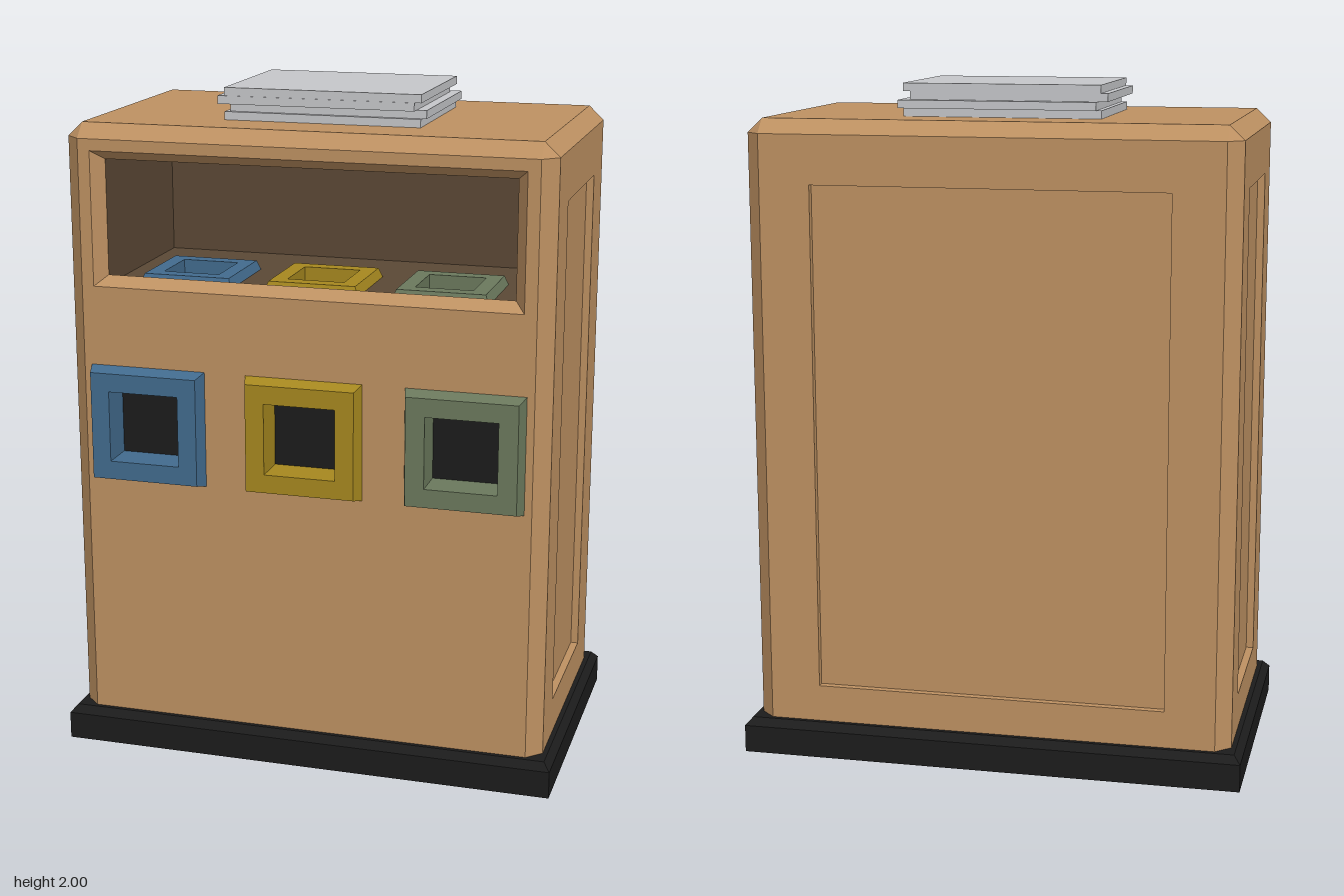
import * as THREE from 'three';

const material = (name, color) => {
  const m = new THREE.MeshStandardMaterial({ color });
  m.name = name;
  return m;
};

function add(parent, name, geometry, mat, x = 0, y = 0, z = 0) {
  const mesh = new THREE.Mesh(geometry, mat);
  mesh.name = name;
  mesh.position.set(x, y, z);
  parent.add(mesh);
  return mesh;
}

function group(parent, name, x = 0, y = 0, z = 0) {
  const g = new THREE.Group();
  g.name = name;
  g.position.set(x, y, z);
  parent.add(g);
  return g;
}

// Flat-shaded geometry from convex polygons
function facets(polygons) {
  const pos = [];
  for (const p of polygons)
    for (let i = 1; i < p.length - 1; i++) pos.push(...p[0], ...p[i], ...p[i + 1]);
  const g = new THREE.BufferGeometry();
  g.setAttribute('position', new THREE.Float32BufferAttribute(pos, 3));
  g.computeVertexNormals();
  return g;
}

// Joins rectangular rings [halfWidth, halfHeight, z]
function loft(rings) {
  const corners = rings.map(([w, h, z]) => [[-w, -h, z], [w, -h, z], [w, h, z], [-w, h, z]]);
  const polys = [];
  for (let r = 0; r < corners.length - 1; r++)
    for (let i = 0; i < 4; i++) {
      const j = (i + 1) % 4;
      polys.push([corners[r][i], corners[r][j], corners[r + 1][j], corners[r + 1][i]]);
    }
  return facets(polys);
}

// Flat sheet with rectangular holes, each rectangle as [cx, cy, halfWidth, halfHeight]
function sheet(outer, holes = []) {
  const trace = (path, [x, y, w, h]) =>
    path.moveTo(x - w, y - h).lineTo(x + w, y - h).lineTo(x + w, y + h).lineTo(x - w, y + h).closePath();
  const shape = new THREE.Shape();
  trace(shape, outer);
  for (const h of holes) {
    const path = new THREE.Path();
    trace(path, h);
    shape.holes.push(path);
  }
  return new THREE.ShapeGeometry(shape);
}

export function createModel() {
  const wood = material('tan wood', 0xbe9162);
  const dark = material('dark brown interior', 0x5b4835);
  const black = material('black', 0x1c1c1c);
  const paper = material('light grey', 0xc6c7ca);
  const slots = [
    ['blue', material('blue', 0x426b8e)],
    ['yellow', material('yellow', 0xa6881f)],
    ['green', material('green', 0x6b795d)],
  ];

  const model = new THREE.Group();
  model.name = 'recyclingStation';

  // Plinth with a chamfered top edge
  const plinth = new THREE.BoxGeometry(1.5, 0.105, 0.884, 1, 2, 1);
  const p = plinth.attributes.position;
  for (let i = 0; i < p.count; i++) {
    if (Math.abs(p.getY(i)) < 0.01) p.setY(i, 0.03);
    else if (p.getY(i) > 0) p.setXYZ(i, p.getX(i) - Math.sign(p.getX(i)) * 0.02, p.getY(i), p.getZ(i) - Math.sign(p.getZ(i)) * 0.02);
  }
  const plinthFlat = plinth.toNonIndexed();
  plinthFlat.computeVertexNormals();
  add(model, 'plinth', plinthFlat, black, 0, 0.0525, -0.006);

  // Cabinet dimensions: half width, half depth, inner half width and depth, heights
  const W = 0.716, D = 0.409, w = 0.672, d = 0.367, Y0 = 0.1, Y1 = 1.863, Y2 = 1.905;
  const midY = (Y0 + Y1) / 2, halfH = (Y1 - Y0) / 2;
  const cabinet = group(model, 'cabinet', 0, 0, -0.006);

  // Chamfered corners, sloped top edges and lid
  const octagon = [[-w, D], [w, D], [W, d], [W, -d], [w, -D], [-w, -D], [-W, -d], [-W, d]];
  const lid = [[-w, d], [w, d], [w, -d], [-w, -d]].map(([x, z]) => [x, Y2, z]);
  const at = (i, y) => [octagon[i % 8][0], y, octagon[i % 8][1]];
  const trim = [lid];
  for (let k = 0; k < 4; k++) {
    const i = k * 2, next = lid[(k + 1) % 4];
    trim.push([at(i, Y1), at(i + 1, Y1), next, lid[k]]);
    trim.push([at(i + 1, Y0), at(i + 2, Y0), at(i + 2, Y1), at(i + 1, Y1)]);
    trim.push([at(i + 1, Y1), at(i + 2, Y1), next]);
  }
  add(cabinet, 'cabinetTopAndCorners', facets(trim), wood);

  // Side and back walls with a shallow recessed panel
  const walls = [
    ['leftWall', Math.PI / 2, W, d, 0.222],
    ['rightWall', -Math.PI / 2, W, d, 0.222],
    ['backWall', Math.PI, D, w, 0.522],
  ];
  const panelY = 0.967, panelH = 0.752;
  for (const [name, angle, dist, half, panelW] of walls) {
    const wall = group(cabinet, name);
    wall.rotation.y = angle;
    add(wall, name + 'Frame', sheet([0, midY, half, halfH], [[0, panelY, panelW, panelH]]), wood, 0, 0, dist);
    add(wall, name + 'PanelEdge', loft([[panelW, panelH, 0], [panelW, panelH, -0.022]]), wood, 0, panelY, dist);
    add(wall, name + 'Panel', sheet([0, panelY, panelW, panelH]), wood, 0, 0, dist - 0.022);
  }

  // Front wall with the display opening and three slots
  const slotY = 1.024, slotX = 0.475, hole = 0.106;
  const openY = 1.631, openW = 0.636, openH = 0.198;
  const inW = 0.604, inH = 0.17, zFront = D - 0.04, zBack = -0.17;
  const slotHoles = [-1, 0, 1].map((s) => [s * slotX, slotY, hole, hole]);
  add(cabinet, 'frontWall', sheet([0, midY, w, halfH], [[0, openY, openW, openH], ...slotHoles]), wood, 0, 0, D);
  add(cabinet, 'openingBevel', loft([[openW, openH, 0], [inW, inH, zFront - D]]), wood, 0, openY, D);

  // Compartment behind the opening: back, sides, ceiling, low front lip and floor
  const top = openY + inH, sill = openY - inH, floor = 1.433;
  const scale = 0.8, trayZ = 0.195;
  add(cabinet, 'compartmentWalls', facets([
    [[-inW, floor, zBack], [inW, floor, zBack], [inW, top, zBack], [-inW, top, zBack]],
    [[-inW, floor, zFront], [-inW, floor, zBack], [-inW, top, zBack], [-inW, top, zFront]],
    [[inW, floor, zBack], [inW, floor, zFront], [inW, top, zFront], [inW, top, zBack]],
    [[-inW, top, zBack], [inW, top, zBack], [inW, top, zFront], [-inW, top, zFront]],
    [[inW, floor, zFront], [-inW, floor, zFront], [-inW, sill, zFront], [inW, sill, zFront]],
  ]), dark);
  const inD = (zFront - zBack) / 2, inZ = (zFront + zBack) / 2;
  const floorHoles = [-1, 0, 1].map((s) => [s * slotX * scale, inZ - trayZ, hole * scale, hole * scale]);
  add(cabinet, 'compartmentFloor', sheet([0, 0, inW, inD], floorHoles), dark, 0, floor, inZ).rotation.x = -Math.PI / 2;

  // Coloured slot frames, repeated smaller and flatter on the compartment floor
  const frame = loft([[0.175, 0.174, 0], [0.162, 0.161, 0.047], [hole, hole, 0.047], [hole, hole, -0.06]]);
  const slotBack = new THREE.PlaneGeometry(hole * 2, hole * 2);
  slots.forEach(([color, mat], i) => {
    const s = i - 1;
    const front = group(cabinet, color + 'Slot', s * slotX, slotY, D);
    const small = group(cabinet, color + 'FloorSlot', s * slotX * scale, floor, trayZ);
    small.rotation.x = -Math.PI / 2;
    small.scale.set(scale, scale, 0.6);
    for (const g of [front, small]) {
      add(g, color + 'SlotFrame', frame, mat);
      add(g, color + 'SlotBack', slotBack, black, 0, 0, -0.06);
    }
  });

  // Loose stack of sheets on the lid
  const stack = group(model, 'paperStack');
  const offsets = [[0, -0.007], [0.014, -0.02], [-0.015, 0.01], [0.005, 0.008]];
  const thick = (2 - Y2) / 4;
  offsets.forEach(([x, z], i) =>
    add(stack, 'paperBundle', new THREE.BoxGeometry(0.582, thick, 0.442), paper, x, Y2 + thick * (i + 0.5), z));

  return model;
}
